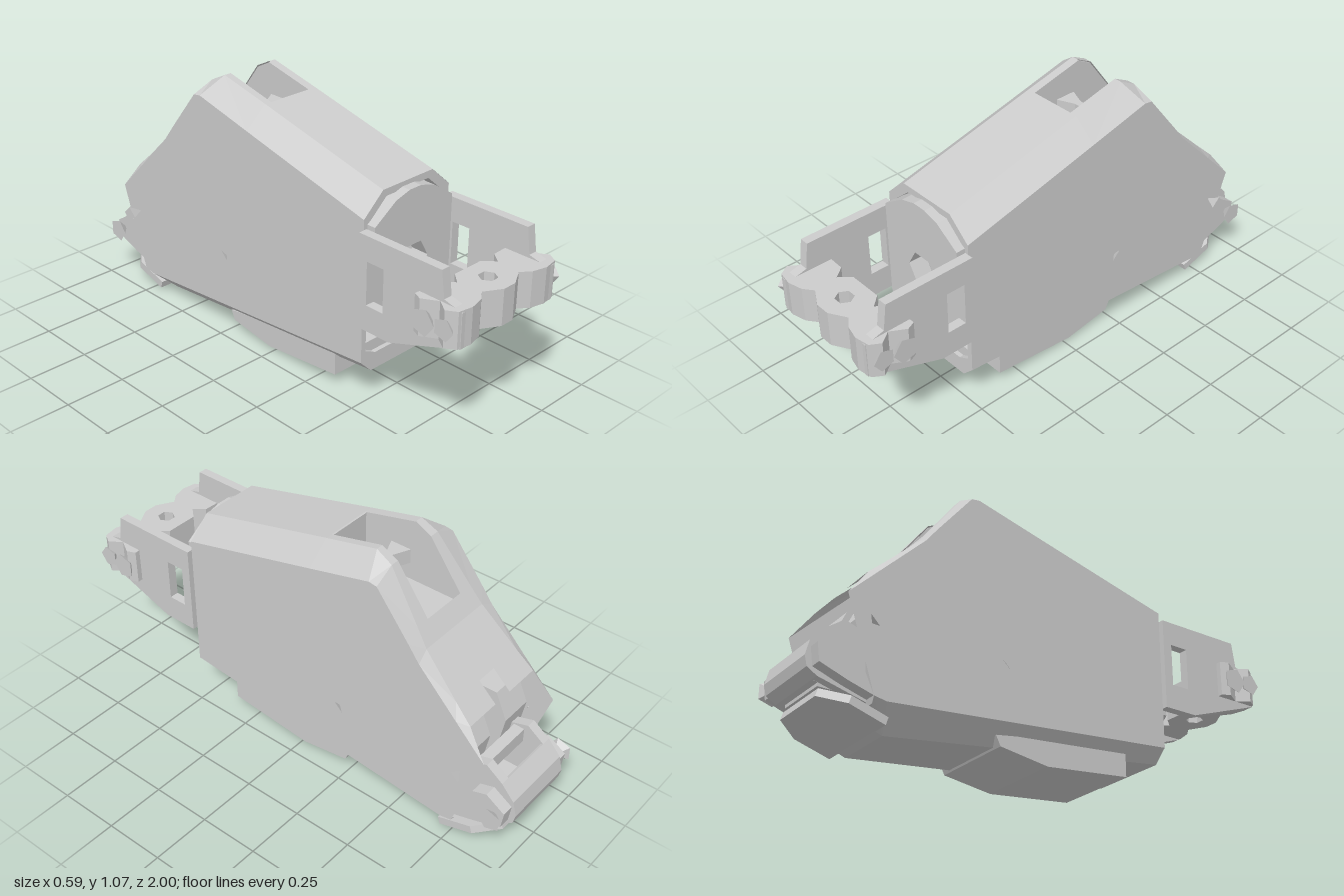
import * as THREE from 'three';

const mat = new THREE.MeshStandardMaterial({ color: 0xcccccc, flatShading: true, side: THREE.DoubleSide });

const toShape = (pts, holes = []) => {
  const s = new THREE.Shape(pts.map(p => new THREE.Vector2(...p)));
  holes.forEach(h => s.holes.push(new THREE.Path(h.map(p => new THREE.Vector2(...p)))));
  return s;
};
const extrude = (pts, depth, holes) =>
  new THREE.ExtrudeGeometry(toShape(pts, holes), { depth, bevelEnabled: false });
// outline in (z, y), spanning x0..x1
const sideSlab = (pts, x0, x1, holes) => extrude(pts, x1 - x0, holes).rotateY(-Math.PI / 2).translate(x1, 0, 0);
// outline in (x, z), spanning y0..y1
const planSlab = (pts, y0, y1, holes) => extrude(pts, y1 - y0, holes).rotateX(Math.PI / 2).translate(0, y1, 0);
// outline in (x, y), spanning z0..z1
const frontSlab = (pts, z0, z1, holes) => extrude(pts, z1 - z0, holes).translate(0, 0, z0);
const box = (x0, x1, y0, y1, z0, z1) => new THREE.BoxGeometry(x1 - x0, y1 - y0, z1 - z0)
  .translate((x0 + x1) / 2, (y0 + y1) / 2, (z0 + z1) / 2);
// mirrored closed outline from its right half
const mirrorPts = half => [...half, ...half.map(([x, y]) => [-x, y]).reverse()];
const ring = (cx, cy, r, n) => Array.from({ length: n }, (_, i) => {
  const a = (i / n) * Math.PI * 2;
  return [cx + r * Math.cos(a), cy + r * Math.sin(a)];
});

// stations round the body: centre z, y, half width; side z, y; gap half width to the next station
const HALF = 0.225;
const stations = [
  [0.51, 0.145, 0.17, 0.52, 0.20, 0],
  [-0.68, 0.005, 0.13, -0.72, 0.09, 0],
  [-0.74, 0.03, 0.13, -0.77, 0.10, null], // rear opening
  [-0.805, 0.57, 0.20, -0.89, 0.455, 0.045], // notch in the rear edge
  [-0.73, 0.64, 0.19, -0.76, 0.585, 0],
  [-0.58, 0.785, 0.17, -0.59, 0.755, 0],
  [-0.53, 0.852, 0.16, -0.54, 0.82, 0.1], // slot
  [-0.39, 1.04, 0.135, -0.395, 1.0, 0.1],
  [-0.32, 1.075, 0.13, -0.36, 1.005, 0.1],
  [-0.09, 1.02, 0.13, -0.09, 0.937, 0],
  [0.52, 0.87, 0.13, 0.52, 0.785, null] // front opening
];

function bodyGeometry() {
  const pos = [];
  const tri = (a, b, c) => {
    pos.push(...a, ...b, ...c);
    for (const [x, y, z] of [a, c, b]) pos.push(-x, y, z);
  };
  const quad = (a, b, c, d) => { tri(a, b, c); tri(a, c, d); };
  stations.forEach((s, i) => {
    if (s[5] === null) return;
    const n = stations[i + 1];
    const at = (p, x) => [x, p[1], p[0]];
    const edge = p => [HALF, p[4], p[3]];
    quad(at(s, s[5]), at(n, s[5]), at(n, n[2]), at(s, s[2])); // centre band
    quad(at(s, s[2]), at(n, n[2]), edge(n), edge(s)); // chamfer
  });
  // flat sides
  const flat = stations.map(s => new THREE.Vector2(s[3], s[4]));
  for (const f of THREE.ShapeUtils.triangulateShape(flat, [])) {
    const [a, b, c] = f.map(i => flat[i]);
    const area = (b.x - a.x) * (c.y - a.y) - (b.y - a.y) * (c.x - a.x);
    const p = v => [HALF, v.y, v.x];
    if (area < 0) tri(p(a), p(b), p(c)); else tri(p(a), p(c), p(b));
  }
  const g = new THREE.BufferGeometry();
  g.setAttribute('position', new THREE.Float32BufferAttribute(pos, 3));
  g.computeVertexNormals();
  return g;
}

export function createModel() {
  const root = new THREE.Group();
  const add = (name, geo) => {
    const m = new THREE.Mesh(geo, mat);
    m.name = name;
    root.add(m);
    return m;
  };
  // faceted bolt pointing outwards on each side
  const bolts = (name, x, y, z, r, len, sides = 5) => {
    for (const s of [1, -1]) {
      const m = add(name, new THREE.ConeGeometry(r, len, sides));
      m.rotation.set(0, 0, s * Math.PI / 2);
      m.position.set(s * (x + len / 2), y, z);
    }
  };

  add('bodyShell', bodyGeometry());

  // front rim and its inset plate
  add('frontRim', frontSlab(
    mirrorPts([[0.17, 0.145], [0.225, 0.2], [0.225, 0.785], [0.13, 0.87]]), 0.46, 0.518,
    [mirrorPts([[0.15, 0.215], [0.2, 0.24], [0.2, 0.76], [0.11, 0.84]])]));
  add('frontPlate', frontSlab(
    mirrorPts([[0.09, 0.255], [0.205, 0.35], [0.205, 0.76], [0.1, 0.83], [0.03, 0.85]]), 0.48, 0.555,
    [ring(0, 0.555, 0.08, 6)]));
  add('frontSill', box(-0.2, 0.2, 0.215, 0.26, 0.44, 0.5));

  // top slot lining and lever
  for (const s of [0.1, -0.11]) {
    add('slotWall', sideSlab([[-0.53, 0.8], [-0.09, 0.8], [-0.09, 1.015], [-0.32, 1.07],
      [-0.387, 1.035], [-0.53, 0.845]], s, s + 0.01));
  }
  add('slotFloor', box(-0.11, 0.11, 0.79, 0.81, -0.54, -0.08));
  add('slotFront', box(-0.11, 0.11, 0.8, 1.012, -0.09, -0.08));
  add('lever', planSlab([[-0.1, -0.3], [-0.03, -0.27], [0.04, -0.27], [0.1, -0.31],
    [0.1, -0.22], [0.03, -0.24], [-0.03, -0.24], [-0.1, -0.21]], 0.88, 0.94));

  // front bracket: two arms and a crossbar
  const arm = [[0.52, 0.365], [0.67, 0.365], [0.995, 0.48], [0.995, 0.62], [0.915, 0.64],
    [0.9, 0.745], [0.52, 0.745]];
  const window_ = [[0.56, 0.47], [0.64, 0.47], [0.64, 0.645], [0.56, 0.645]];
  for (const x of [0.21, -0.248]) add('bracketArm', sideSlab(arm, x, x + 0.038, [window_]));
  add('crossbar', planSlab(mirrorPts([
    [0.07, 0.81], [0.11, 0.855], [0.145, 0.81], [0.27, 0.805], [0.285, 0.84], [0.25, 0.9],
    [0.285, 0.95], [0.26, 0.99], [0.2, 1.0], [0.14, 0.985], [0.1, 0.955], [0.03, 0.995]
  ]), 0.482, 0.628, [ring(0, 0.9, 0.036, 6)]));
  bolts('bracketBolt', 0.24, 0.55, 0.86, 0.055, 0.055);
  bolts('bracketBolt', 0.24, 0.555, 0.95, 0.045, 0.05);

  // underside block
  add('undersideBlock', sideSlab([[0.35, 0.055], [0.35, 0.18], [-0.25, 0.09], [-0.23, 0.05],
    [-0.02, 0.018]], -0.188, 0.185));

  // rear opening: inner blocks
  for (const s of [1, -1]) {
    const [a, b] = s > 0 ? [0.05, 0.19] : [-0.19, -0.05];
    add('rearBlock', sideSlab([[-0.6, 0.1], [-0.74, 0.1], [-0.8, 0.42], [-0.75, 0.53], [-0.6, 0.53]], a, b));
  }
  add('rearCentreBlock', box(-0.06, 0.06, 0.08, 0.44, -0.7, -0.58));

  // rear loop with a rounded end bar
  const loop = [[-0.76, 0.1], [-0.95, 0.15], [-0.99, 0.175], [-1, 0.215], [-0.985, 0.275],
    [-0.93, 0.335], [-0.86, 0.385], [-0.78, 0.36]];
  for (const x of [0.115, -0.155]) add('loopArm', sideSlab(loop, x, x + 0.04));
  add('loopEndBar', sideSlab([[-0.92, 0.14], [-0.95, 0.15], [-0.99, 0.175], [-1, 0.215],
    [-0.985, 0.275], [-0.93, 0.335], [-0.92, 0.33]], -0.12, 0.12));
  add('loopInnerBar', box(-0.12, 0.12, 0.3, 0.36, -0.845, -0.8));
  add('loopFloor', box(-0.12, 0.12, 0.13, 0.16, -0.93, -0.76));
  for (const s of [1, -1]) {
    const [a, b] = s > 0 ? [0.15, 0.205] : [-0.205, -0.15];
    add('rearCheek', sideSlab([[-0.76, 0.11], [-0.86, 0.14], [-0.97, 0.18], [-0.98, 0.25],
      [-0.9, 0.3], [-0.84, 0.28]], a, b));
  }
  bolts('loopBolt', 0.195, 0.225, -0.94, 0.05, 0.045);

  // rear bottom lip with clipped corners
  const lip = add('rearLip', planSlab(mirrorPts([[0.2, 0], [0.2, -0.15], [0.13, -0.245]]), -0.02, 0.012));
  lip.position.set(0, 0.035, -0.7);
  lip.rotation.x = 0.3;

  // small side bolts
  bolts('sideBolt', 0.22, 0.36, -0.23, 0.035, 0.03, 4);
  bolts('sideBolt', 0.22, 0.365, -0.79, 0.035, 0.06, 4);

  return root;
}
